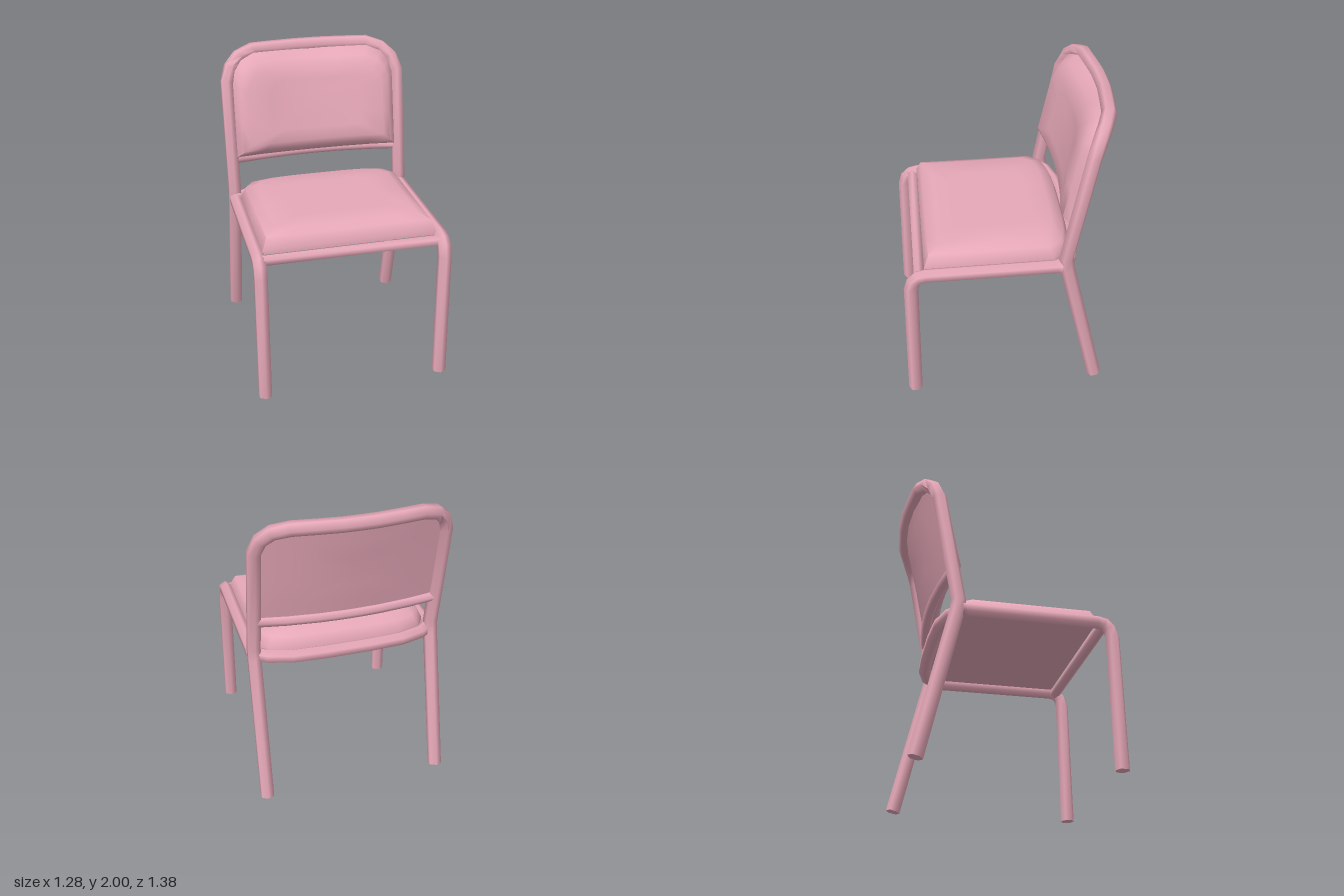
import * as THREE from 'three';
import { toCreasedNormals } from 'three/addons/utils/BufferGeometryUtils.js';

const material = new THREE.MeshStandardMaterial({ color: 0xe6a8b8 });
const V = (x, y, z) => new THREE.Vector3(x, y, z);

// Closed skin over a stack of equal-sized rings, with a fan at both ends.
function loft(rings) {
  const n = rings[0].length;
  const pos = [], index = [];
  rings.forEach(r => r.forEach(p => pos.push(p.x, p.y, p.z)));
  const centre = r => r.reduce((s, p) => s.add(p), V(0, 0, 0)).divideScalar(n);
  const last = rings.length - 1, a = rings.length * n, b = a + 1;
  [rings[0], rings[last]].map(centre).forEach(p => pos.push(p.x, p.y, p.z));
  for (let j = 0; j < n; j++) {
    const k = (j + 1) % n;
    for (let i = 0; i < last; i++) {
      const p = i * n, q = p + n;
      index.push(p + j, p + k, q + k, p + j, q + k, q + j);
    }
    index.push(a, k, j, b, last * n + j, last * n + k);
  }
  const g = new THREE.BufferGeometry();
  g.setAttribute('position', new THREE.Float32BufferAttribute(pos, 3));
  g.setIndex(index);
  return toCreasedNormals(g, 1.2);
}

// Six-sided bar along a path; ref fixes how the section is turned.
function bar(points, ref, r, phase = 0) {
  return loft(points.map((p, i) => {
    const before = points[Math.max(i - 1, 0)], after = points[Math.min(i + 1, points.length - 1)];
    const d1 = p.clone().sub(before).normalize(), d2 = after.clone().sub(p).normalize();
    const t = d1.add(d2).normalize();
    const u = ref.clone().addScaledVector(t, -ref.dot(t)).normalize();
    const v = t.clone().cross(u);
    return Array.from({ length: 6 }, (_, k) => {
      const a = phase + k * Math.PI / 3;
      return p.clone().addScaledVector(u, r * Math.cos(a)).addScaledVector(v, r * Math.sin(a));
    });
  }));
}

// Mirrors a half path that ends at the centre line x = 0.
const mirrored = half => [...half, ...half.slice(0, -1).reverse().map(p => V(-p.x, p.y, p.z))];

// Cushion: outline (right half, bottom to top) shrunk through [height, inset] levels.
function cushion(half, levels, place) {
  const outline = [...half, ...half.slice().reverse().filter(p => p[0] > 0).map(p => [-p[0], p[1]])];
  const xs = Math.max(...half.map(p => p[0]));
  const lo = half[0][1], hi = half[half.length - 1][1];
  const mid = (lo + hi) / 2, vs = (hi - lo) / 2;
  const ring = (h, inset, s) => outline.map(([x, v]) =>
    place(x * (1 - inset / xs) * s, mid + (v - mid) * (1 - inset / vs) * s, h));
  const [h0, i0] = levels[0], [h1, i1] = levels[levels.length - 1];
  return loft([
    ring(h0, i0, 0.33), ring(h0, i0, 0.66),
    ...levels.map(([h, i]) => ring(h, i, 1)),
    ring(h1 + 0.002, i1, 0.66), ring(h1 + 0.003, i1, 0.33),
  ]);
}

// Leaning, curved surface of the backrest.
const backZ = (x, y) => -0.355 - 0.19 * (y - 1.04)
  - (0.062 + 0.064 * (y - 1.255)) * (1 - Math.pow(Math.min(Math.abs(x) / 0.6, 1), 2));

export function createModel() {
  const model = new THREE.Group();
  const add = (name, geometry) => {
    const mesh = new THREE.Mesh(geometry, material);
    mesh.name = name;
    model.add(mesh);
  };
  const X = V(1, 0, 0), Y = V(0, 1, 0), Z = V(0, 0, 1);

  // Front legs bending into the side rails
  for (const [side, x] of [['left', 0.597], ['right', -0.597]]) {
    const path = [[0.01, 0.645], [0.88, 0.63], [0.94, 0.612], [0.97, 0.58], [0.98, 0.535], [0.98, -0.3], [0.98, -0.33]];
    add(side + 'FrontLegAndRail', bar(path.map(([y, z]) => V(x, y, z)), X, 0.046, Math.PI / 6));
  }

  // Rear legs and backrest hoop in one bent tube
  add('rearLegsAndBackFrame', bar(mirrored([
    V(0.597, 0.01, -0.588), V(0.597, 0.96, -0.365), V(0.597, 1.04, -0.355),
    V(0.597, 1.78, -0.492), V(0.565, 1.87, -0.525), V(0.5, 1.93, -0.565), V(0.4, 1.96, -0.605),
    V(0.25, 1.96, -0.624), V(0.1, 1.96, -0.639), V(0, 1.96, -0.64),
  ]), Z, 0.047));

  // Cross bars
  add('frontSeatBar', bar([V(-0.59, 0.968, 0.574), V(0.59, 0.968, 0.574)], Y, 0.037));
  add('rearSeatRail', bar(mirrored([
    V(0.597, 0.98, -0.29), V(0.575, 0.98, -0.34), V(0.51, 0.98, -0.39),
    V(0.36, 0.98, -0.432), V(0.15, 0.98, -0.443), V(0, 0.98, -0.443),
  ]), Y, 0.046));
  add('lowerBackBar', bar(mirrored([0.58, 0.4, 0.2, 0.08, 0].map(
    x => V(x, 1.253, backZ(x, 1.253)))), Y, 0.035, Math.PI / 6));

  // Seat cushion, with rounded rear corners
  add('seatCushion', cushion(
    [[0, -0.54], [0.2, -0.54], [0.4, -0.54], [0.565, -0.54], [0.565, -0.1], [0.565, 0.28],
      [0.5, 0.37], [0.36, 0.405], [0.2, 0.415], [0, 0.415]],
    [[0.99, 0], [1.02, 0], [1.09, 0.03], [1.122, 0.1]],
    (x, v, h) => V(x, h, -v)));

  // Backrest cushion, following the hoop
  add('backCushion', cushion(
    [[0, 1.262], [0.2, 1.264], [0.4, 1.268], [0.565, 1.272], [0.565, 1.5], [0.565, 1.77],
      [0.54, 1.85], [0.49, 1.91], [0.4, 1.945], [0.2, 1.942], [0, 1.937]],
    [[0, 0], [0.035, 0], [0.09, 0.045], [0.12, 0.095]],
    (x, v, h) => V(x, v, backZ(x, v) + h)));

  return model;
}
